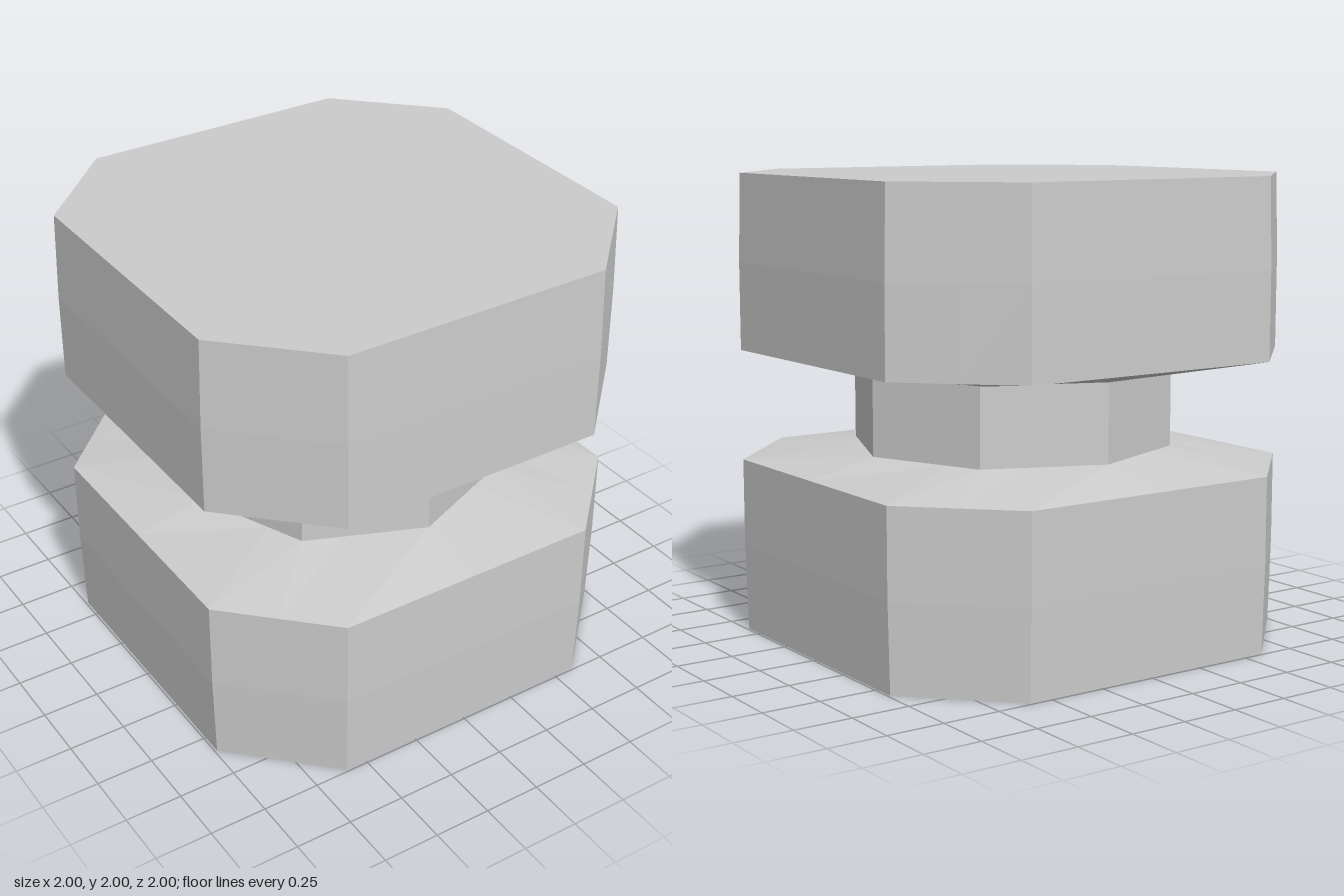
import * as THREE from 'three';

// Quarter outlines as [x, z]; the other three quarters are turned copies
const OUTER = [[1, 0], [1, 0.6], [0.8, 0.8], [0.6, 1]];
const END = [[0.99, 0], [0.99, 0.597], [0.793, 0.793], [0.597, 0.99]];
const NECK = [[0.7, 0], [0.561, 0.336], [0.495, 0.495], [0.336, 0.561]];
const CENTRE = [[0, 0], [0, 0], [0, 0], [0, 0]];

function ring(quarter, y) {
  const points = [];
  for (let q = 0; q < 4; q++) {
    for (let [x, z] of quarter) {
      for (let t = 0; t < q; t++) [x, z] = [-z, x];
      points.push(new THREE.Vector3(x, y, z));
    }
  }
  return points;
}

// Skin a stack of rings, leaving out triangles that collapse at a centre
function loft(rings) {
  const positions = [];
  const triangle = (a, b, c) => {
    if (a.equals(b) || b.equals(c) || a.equals(c)) return;
    for (const p of [a, b, c]) positions.push(p.x, p.y, p.z);
  };
  for (let k = 0; k < rings.length - 1; k++) {
    const low = rings[k], high = rings[k + 1];
    for (let i = 0; i < low.length; i++) {
      const j = (i + 1) % low.length;
      triangle(low[i], high[i], low[j]);
      triangle(high[i], high[j], low[j]);
    }
  }
  const geometry = new THREE.BufferGeometry();
  geometry.setAttribute('position', new THREE.Float32BufferAttribute(positions, 3));
  geometry.computeVertexNormals();
  return geometry;
}

export function createModel() {
  const group = new THREE.Group();
  group.name = 'spool';
  const material = new THREE.MeshStandardMaterial({ color: 0xcccccc, flatShading: true });

  // Chamfered drums, slightly narrower at the flat end, sloping in to the neck
  const drumGeometry = loft([
    ring(CENTRE, 0),
    ring(END, 0),
    ring(OUTER, 0.38),
    ring(OUTER, 0.76),
    ring(NECK, 0.83),
  ]);
  const lowerDrum = new THREE.Mesh(drumGeometry, material);
  lowerDrum.name = 'lowerDrum';
  const upperDrum = new THREE.Mesh(drumGeometry, material);
  upperDrum.name = 'upperDrum';
  upperDrum.rotation.x = Math.PI;
  upperDrum.position.y = 2;

  // Eight-sided neck between the drums
  const neck = new THREE.Mesh(new THREE.CylinderGeometry(0.7, 0.7, 0.34, 8, 1, true), material);
  neck.name = 'neck';
  neck.position.y = 1;

  group.add(lowerDrum, upperDrum, neck);
  return group;
}
